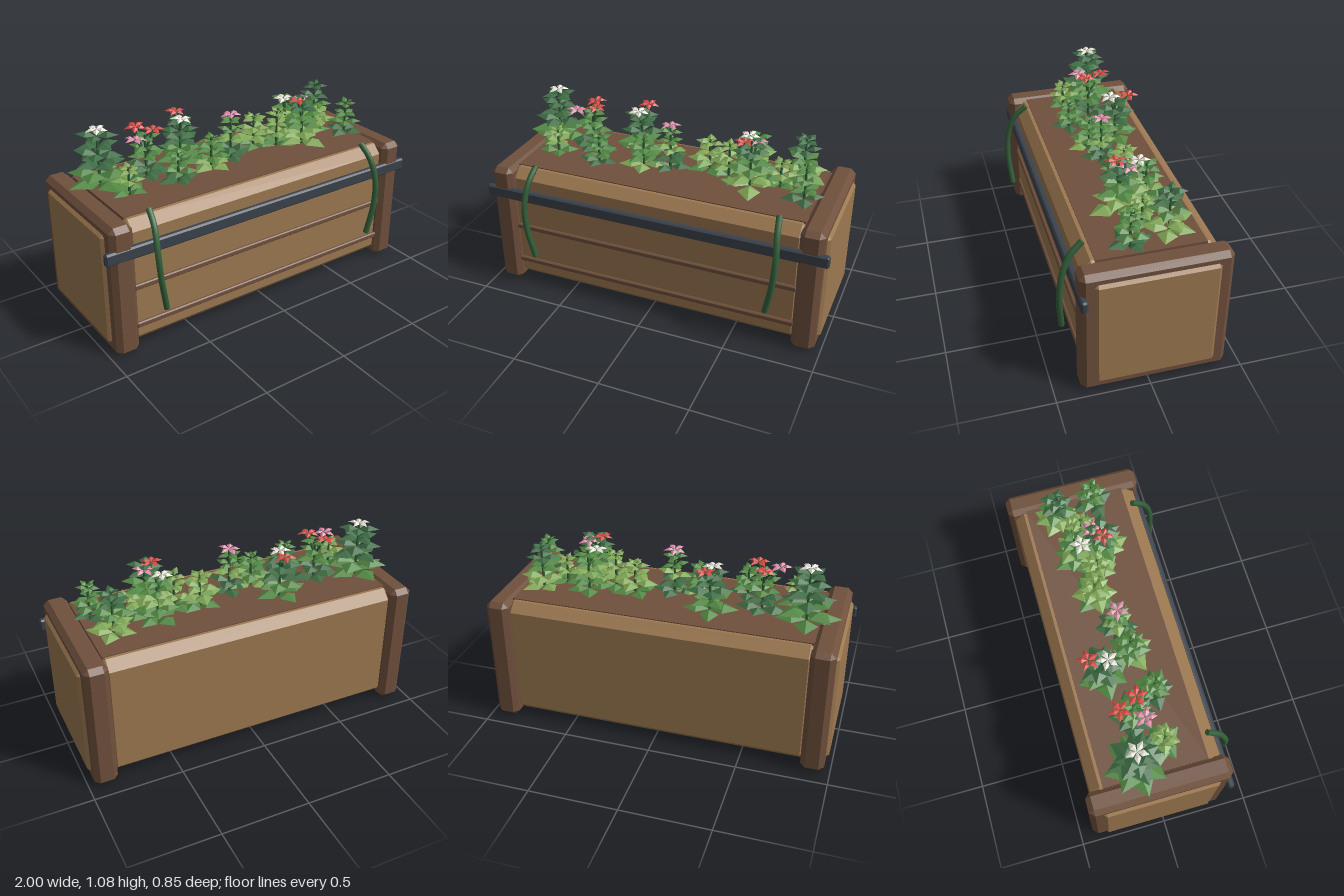
import * as THREE from 'three';
import { ConvexGeometry } from 'three/addons/geometries/ConvexGeometry.js';

const mat = (name, color, extra = {}) => {
  const m = new THREE.MeshStandardMaterial({ color, ...extra });
  m.name = name;
  return m;
};
const thin = { side: THREE.DoubleSide };

// Box between two corners with every edge cut at 45 degrees
function chamferBox([x0, y0, z0], [x1, y1, z1], c) {
  const pts = [];
  for (const [x, sx] of [[x0, 1], [x1, -1]])
    for (const [y, sy] of [[y0, 1], [y1, -1]])
      for (const [z, sz] of [[z0, 1], [z1, -1]]) {
        pts.push(new THREE.Vector3(x, y + sy * c, z + sz * c));
        pts.push(new THREE.Vector3(x + sx * c, y, z + sz * c));
        pts.push(new THREE.Vector3(x + sx * c, y + sy * c, z));
      }
  return new ConvexGeometry(pts);
}

// Unit leaf pointing along +x: a raised rib with two drooping, faceted halves
function leafGeometry(width, rise, droop) {
  const base = [0, 0, 0], tip = [1, -droop, 0], rib = [0.5, rise, 0];
  const tris = [];
  for (const s of [1, -1]) {
    const edge = [0.48, rise - 0.16, s * width / 2];
    const a = [base, edge, rib], b = [rib, edge, tip];
    for (const t of [a, b]) tris.push(...(s > 0 ? t : [t[0], t[2], t[1]]).flat());
  }
  const g = new THREE.BufferGeometry();
  g.setAttribute('position', new THREE.Float32BufferAttribute(tris, 3));
  g.computeVertexNormals();
  return g;
}

export function createModel() {
  const model = new THREE.Group();
  model.name = 'planterBox';
  const wood = mat('tan wood', 0x9c7850);
  const frame = mat('brown wood and soil', 0x6f503c);
  const iron = mat('dark iron', 0x3b424c);
  const stemGreen = mat('stem green', 0x33603a);
  const dark = mat('dark leaf', 0x3c6b42, thin);
  const mid = mat('mid leaf', 0x518742, thin);
  const light = mat('light leaf', 0x7fa655, thin);
  const red = mat('red petal', 0xd24a42, thin);
  const pink = mat('pink petal', 0xda8ca6, thin);
  const white = mat('white petal', 0xe4e0d6, thin);

  const add = (name, geo, material, parent = model) => {
    const m = new THREE.Mesh(geo, material);
    m.name = name;
    parent.add(m);
    return m;
  };
  let seed = 7;
  const rand = () => (seed = (seed * 16807) % 2147483647) / 2147483647;

  // Trough, soil and front rails
  add('trough', chamferBox([-0.88, 0.02, -0.39], [0.88, 0.74, 0.325], 0.052), wood);
  add('soil', new THREE.BoxGeometry(1.68, 0.02, 0.575).translate(0, 0.735, -0.034), frame);
  for (const y of [0.145, 0.375])
    add('frontSlat', chamferBox([-0.84, y - 0.016, 0.3], [0.84, y + 0.016, 0.34], 0.006), frame);
  add('ironRail', chamferBox([-1, 0.56, 0.327], [1, 0.63, 0.363], 0.009), iron);

  // End frames with raised panels, and the two hanging tendrils
  for (const s of [1, -1]) {
    const a = Math.min(s * 0.835, s * 0.966), b = Math.max(s * 0.835, s * 0.966);
    add('endFrame', chamferBox([a, 0, -0.425], [b, 0.75, 0.36], 0.028), frame);
    const p = Math.min(s * 0.9, s * 0.982), q = Math.max(s * 0.9, s * 0.982);
    add('endPanel', chamferBox([p, 0.055, -0.355], [q, 0.7, 0.29], 0.018), wood);
    const path = new THREE.CatmullRomCurve3([
      [0.71, 0.77, 0.285], [0.722, 0.7, 0.355], [0.735, 0.58, 0.4],
      [0.728, 0.43, 0.412], [0.695, 0.235, 0.398],
    ].map(([x, y, z]) => new THREE.Vector3(s * x, y, z)));
    add('tendril', new THREE.TubeGeometry(path, 16, 0.017, 8), stemGreen);
    for (const t of [0, 1]) {
      const cap = add('tendrilEnd', new THREE.CircleGeometry(0.017, 8), stemGreen);
      cap.position.copy(path.getPoint(t));
      const out = path.getTangent(t).multiplyScalar(t ? 1 : -1);
      cap.quaternion.setFromUnitVectors(new THREE.Vector3(0, 0, 1), out);
    }
  }

  const leaf = leafGeometry(0.72, 0.17, 0.06);
  const petal = leafGeometry(0.55, 0.2, 0.08);
  const stemGeo = new THREE.CylinderGeometry(0.006, 0.008, 1, 6);

  // Straight stem between two points
  function stem(parent, from, to) {
    const m = add('stem', stemGeo, stemGreen, parent);
    const d = to.clone().sub(from);
    m.position.copy(from).addScaledVector(d, 0.5);
    m.scale.y = d.length();
    m.quaternion.setFromUnitVectors(new THREE.Vector3(0, 1, 0), d.normalize());
  }

  // Five-petalled flower
  function flower(parent, x, y, z, material) {
    const f = new THREE.Group();
    f.name = 'flower';
    f.position.set(x, y, z);
    f.rotation.set((rand() - 0.5) * 0.3, rand() * 6, (rand() - 0.5) * 0.3);
    for (let i = 0; i < 5; i++) {
      const p = add('petal', petal, material, f);
      p.scale.setScalar(0.064);
      p.rotation.y = i * Math.PI * 0.4;
    }
    parent.add(f);
  }

  // Plants: x, z, top height, lower leaf length, leaf colours by tier, flowers [x, y, z, colour]
  const plants = [
    [-0.77, -0.125, 1.05, 0.185, [mid, dark, dark], [[-0.77, 1.07, -0.125, white]]],
    [-0.69, 0.05, 0.9, 0.12, [mid, light, light], []],
    [-0.52, -0.07, 1.0, 0.14, [dark, mid, mid],
      [[-0.6, 1.005, -0.03, pink], [-0.535, 1.025, -0.145, red], [-0.485, 1.03, -0.045, red]]],
    [-0.41, 0.08, 0.92, 0.12, [dark, mid, mid], []],
    [-0.25, -0.16, 1.0, 0.16, [mid, dark, dark],
      [[-0.235, 1.02, -0.23, red], [-0.257, 1.01, -0.13, white]]],
    [-0.16, 0.02, 0.93, 0.14, [light, mid, mid], []],
    [-0.01, -0.01, 1.0, 0.12, [dark, light, mid], [[-0.01, 1.02, -0.01, pink]]],
    [0.2, -0.08, 0.94, 0.14, [mid, light, light], []],
    [0.33, -0.03, 0.96, 0.12, [mid, light, light], []],
    [0.46, -0.12, 1.0, 0.14, [mid, light, mid], [[0.42, 1.0, -0.09, white]]],
    [0.47, 0.03, 1.03, 0.16, [light, mid, dark],
      [[0.49, 1.01, -0.015, pink], [0.43, 1.02, 0.035, red]]],
    [0.62, -0.05, 0.9, 0.12, [mid, light, light], []],
    [0.72, -0.16, 1.01, 0.14, [light, mid, dark], []],
    [0.78, 0.06, 0.95, 0.12, [dark, mid, mid], []],
  ];
  for (const [x, z, top, length, colours, flowers] of plants) {
    const plant = new THREE.Group();
    plant.name = 'plant';
    model.add(plant);
    const crown = new THREE.Vector3(x, top, z);
    stem(plant, new THREE.Vector3(x, 0.74, z), crown);

    // Crossed tiers of leaves, shorter towards the top
    const tiers = Math.round((top - 0.76) / 0.06) + 1;
    const turn = rand() * 6;
    for (let k = 0; k < tiers; k++) {
      const t = k / (tiers - 1);
      const colour = colours[Math.min(2, Math.floor(t * 3))];
      for (let i = 0; i < 4; i++) {
        const l = add('leaf', leaf, colour, plant);
        l.position.set(x, 0.765 + (top - 0.785) * t, z);
        l.rotation.set(0, turn + k * 0.8 + i * Math.PI / 2 + (rand() - 0.5) * 0.4,
          0.05 + rand() * 0.15);
        l.rotation.order = 'YZX';
        l.scale.setScalar(length * (1 - 0.42 * t) * (0.9 + rand() * 0.2));
      }
    }
    // Young upright leaves on the crown
    if (!flowers.length) for (let i = 0; i < 3; i++) {
      const l = add('budLeaf', leaf, colours[2], plant);
      l.position.set(x, top - 0.01, z);
      l.rotation.order = 'YZX';
      l.rotation.set(0, turn + i * 2.1, 0.6);
      l.scale.setScalar(0.05);
    }
    for (const [fx, fy, fz, colour] of flowers) {
      stem(plant, new THREE.Vector3(x, 0.9, z), new THREE.Vector3(fx, fy, fz));
      flower(plant, fx, fy, fz, colour);
    }
  }
  return model;
}
